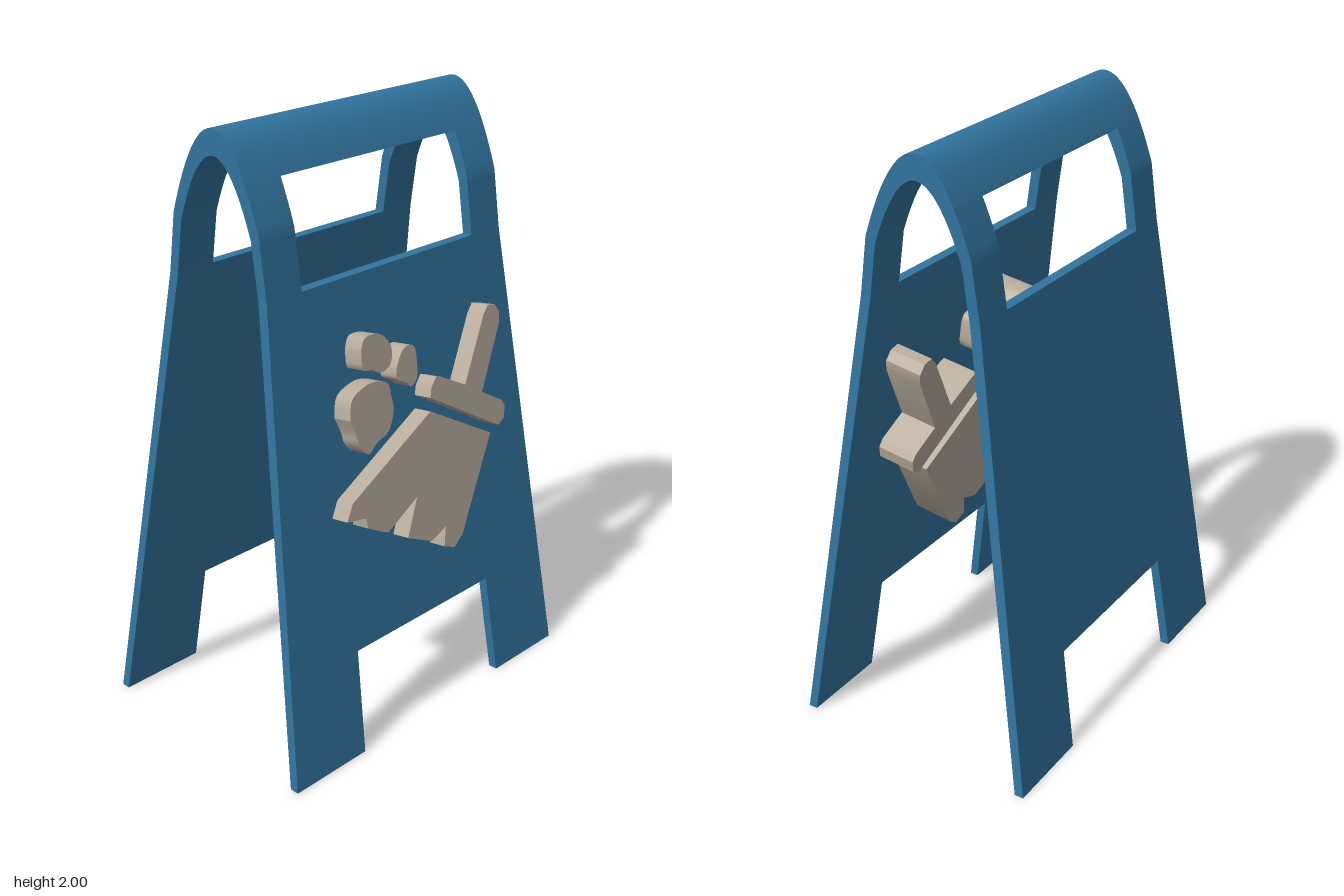
import * as THREE from 'three';
import { toCreasedNormals } from 'three/addons/utils/BufferGeometryUtils.js';

const blue = new THREE.MeshStandardMaterial({ color: 0x31749e });
blue.name = 'signBlue';
const beige = new THREE.MeshStandardMaterial({ color: 0xb8ac9c });
beige.name = 'symbolBeige';

// Half depth of the sheet at a height: straight leaf below, parabolic arch above
const halfDepth = (y, foot, knee, kneeY, top) =>
  y < kneeY ? foot + (knee - foot) * y / kneeY
    : knee * Math.sqrt(Math.max(0, (top - y) / (top - kneeY)));
const outerZ = y => halfDepth(y, 0.433, 0.185, 1.72, 2);
const innerZ = y => halfDepth(y, 0.402, 0.152, 1.7, 1.92);

// Half width of the leaf and of the gap between the feet
const halfWidth = y => 0.525 + 0.115 * Math.max(0, 1 - y / 1.53);
const gapWidth = y => 0.335 - 0.045 * y;

// Extrude a side section [z, y] across x between two width rules
function band(name, section, left, right) {
  const shape = new THREE.Shape(section.map(([z, y]) => new THREE.Vector2(-z, y)));
  const geo = new THREE.ExtrudeGeometry(shape, { depth: 1, bevelEnabled: false });
  const p = geo.attributes.position;
  for (let i = 0; i < p.count; i++) {
    const y = p.getY(i), u = p.getZ(i), z = -p.getX(i);
    p.setXYZ(i, left(y) * (1 - u) + right(y) * u, y, z);
  }
  const mesh = new THREE.Mesh(toCreasedNormals(geo, 0.3), blue);
  mesh.name = name;
  return mesh;
}

// Section of one leaf through the given heights
const leafSection = ys => [
  ...ys.map(y => [outerZ(y), y]),
  ...[...ys].reverse().map(y => [innerZ(y), y])
];

function leaf(name) {
  const g = new THREE.Group();
  g.name = name;
  g.add(band('panel', leafSection([0.35, 1.53]), y => -halfWidth(y), halfWidth));
  const postHeights = [1.53, 1.7, 1.72, 1.75, 1.78, 1.81, 1.835, 1.86];
  const postSection = leafSection(postHeights);
  const legSection = leafSection([0, 0.35]);
  g.add(band('leftPost', postSection, () => 0.385, halfWidth));
  g.add(band('rightPost', postSection, y => -halfWidth(y), () => -0.385));
  g.add(band('leftLeg', legSection, gapWidth, halfWidth));
  g.add(band('rightLeg', legSection, y => -halfWidth(y), y => -gapWidth(y)));
  return g;
}

// Curved top joining both leaves, above the handle openings
function topArch() {
  const arc = (rule, top, n) => Array.from({ length: n + 1 }, (_, i) => {
    const t = 1 - 2 * i / n;
    const y = top - (top - 1.86) * t * t;
    return [Math.sign(t) * rule(y), y];
  });
  const section = [...arc(outerZ, 2, 24), ...arc(innerZ, 1.92, 24).reverse()];
  return band('topArch', section, y => -halfWidth(y), halfWidth);
}

// Thick symbol pushed through the front leaf, square to its slope
function symbol(name, points, rounded) {
  let pts = points.map(([x, y]) => new THREE.Vector2(x, y));
  if (rounded) pts = new THREE.SplineCurve([...pts, pts[0]]).getPoints(40).slice(0, -1);
  const geo = new THREE.ExtrudeGeometry(new THREE.Shape(pts), { depth: 0.232, bevelEnabled: false });
  const p = geo.attributes.position;
  for (let i = 0; i < p.count; i++) {
    const y = p.getY(i), back = p.getZ(i) - 0.232;
    p.setY(i, y + back * 0.144);
    p.setZ(i, 0.415 - 0.138 * (y - 0.57) + back * 0.99);
  }
  const mesh = new THREE.Mesh(toCreasedNormals(geo, 0.5), beige);
  mesh.name = name;
  return mesh;
}

export function createModel() {
  const model = new THREE.Group();
  model.name = 'floorSign';

  const back = leaf('backLeaf');
  back.rotation.y = Math.PI;
  model.add(leaf('frontLeaf'), back, topArch());

  // Broom with ragged bristles
  model.add(symbol('broomBristles', [
    [0.045, 1.055], [-0.335, 0.875], [-0.365, 0.825], [-0.283, 0.81], [-0.28, 0.775],
    [-0.195, 0.73], [-0.05, 0.8], [-0.108, 0.68], [0, 0.63], [0.072, 0.655],
    [0.058, 0.59], [0.105, 0.57], [0.15, 0.6], [0.326, 0.897]
  ]));
  model.add(symbol('broomHandle', [
    [0.05, 1.098], [0.06, 1.13], [0.085, 1.158], [0.11, 1.15], [0.22, 1.093],
    [0.335, 1.295], [0.36, 1.322], [0.395, 1.315], [0.415, 1.285], [0.41, 1.25],
    [0.3, 1.045], [0.395, 0.99], [0.41, 0.965], [0.4, 0.925], [0.37, 0.91]
  ]));

  // Dust puffs
  model.add(symbol('largeDustPuff', [
    [-0.31, 1.13], [-0.295, 1.19], [-0.245, 1.215], [-0.19, 1.22], [-0.135, 1.2], [-0.125, 1.155],
    [-0.12, 1.11], [-0.15, 1.05], [-0.205, 1.03], [-0.245, 1.005], [-0.28, 1.04], [-0.29, 1.08]
  ], true));
  model.add(symbol('upperDustPuff', [
    [-0.235, 1.33], [-0.215, 1.363], [-0.165, 1.363], [-0.13, 1.345], [-0.105, 1.305],
    [-0.115, 1.255], [-0.16, 1.24], [-0.195, 1.26], [-0.235, 1.27]
  ], true));
  model.add(symbol('smallDustPuff', [
    [-0.09, 1.235], [-0.065, 1.275], [-0.035, 1.292], [-0.003, 1.28], [0.003, 1.23],
    [-0.003, 1.18], [-0.03, 1.16], [-0.055, 1.18], [-0.092, 1.2]
  ], true));

  return model;
}
